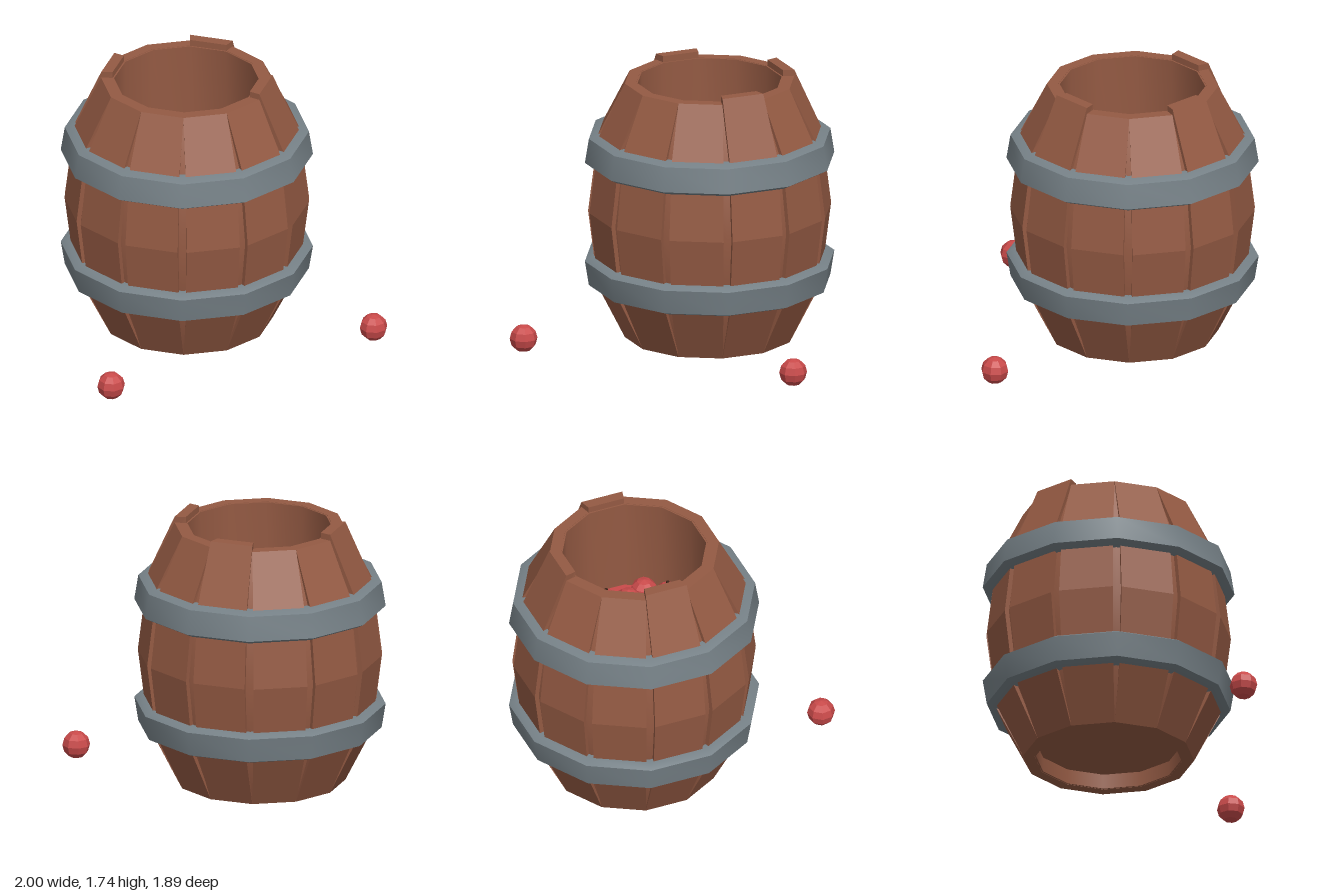
import * as THREE from 'three';
import { toCreasedNormals } from 'three/addons/utils/BufferGeometryUtils.js';

const SIDES = 12;
const COS = Math.cos(Math.PI / SIDES);
const TAN = Math.tan(Math.PI / SIDES);

function material(name, color) {
  const m = new THREE.MeshStandardMaterial({ color });
  m.name = name;
  return m;
}

function flat(geometry) {
  const g = geometry.index ? geometry.toNonIndexed() : geometry;
  g.computeVertexNormals();
  return g;
}

// Twelve-sided ring from a closed profile of [apothem, y], outside going up.
function ringGeometry(profile) {
  const pts = profile.map(([r, y]) => new THREE.Vector2(r / COS, y));
  pts.push(pts[0].clone());
  return toCreasedNormals(new THREE.LatheGeometry(pts, SIDES, Math.PI / SIDES), 0.6);
}

// Stave facing +z: four-cornered sections [y, outer radius, half width] stacked upwards.
function staveGeometry(top) {
  const inner = 0.46;
  const sections = [
    [0, 0.53, 0.142], [0.34, 0.70, 0.166], [0.85, 0.763, 0.175], [1.36, 0.70, 0.166], [top, 0.53, 0.142],
  ];
  const pos = [], index = [];
  for (const [y, r, w] of sections) {
    const wi = inner * TAN;
    pos.push(-w, y, r, w, y, r, wi, y, inner, -wi, y, inner);
  }
  for (let s = 0; s < sections.length - 1; s++) {
    for (let k = 0; k < 4; k++) {
      const a = s * 4 + k, b = s * 4 + (k + 1) % 4;
      index.push(a, b, b + 4, a, b + 4, a + 4);
    }
  }
  const t = (sections.length - 1) * 4;
  index.push(0, 2, 1, 0, 3, 2, t, t + 1, t + 2, t, t + 2, t + 3);
  const g = new THREE.BufferGeometry();
  g.setAttribute('position', new THREE.Float32BufferAttribute(pos, 3));
  g.setIndex(index);
  return flat(g);
}

export function createModel() {
  const wood = material('wood', 0x945a43);
  const steel = material('steel', 0x768187);
  const red = material('appleRed', 0xc94a4a);
  const green = material('appleGreen', 0x6fa53a);
  const stemBrown = material('stemBrown', 0x3d2419);

  const model = new THREE.Group();
  model.name = 'appleBarrel';
  const barrel = new THREE.Group();
  barrel.name = 'barrel';
  barrel.position.set(-0.182, 0, -0.17);
  model.add(barrel);

  const add = (parent, name, geometry, mat) => {
    const mesh = new THREE.Mesh(geometry, mat);
    mesh.name = name;
    parent.add(mesh);
    return mesh;
  };

  // Staves, three of them standing slightly taller
  const shortStave = staveGeometry(1.70);
  const tallStave = staveGeometry(1.74);
  for (let i = 0; i < SIDES; i++) {
    const tall = i === 2 || i === 5 || i === 8;
    const stave = add(barrel, 'stave', tall ? tallStave : shortStave, wood);
    stave.rotation.y = i * Math.PI * 2 / SIDES;
  }

  // Inner wall, which also closes the seams between the staves
  add(barrel, 'innerWall', ringGeometry([
    [0.45, 0.002], [0.52, 0.002], [0.67, 0.34], [0.733, 0.85], [0.67, 1.36], [0.52, 1.698], [0.45, 1.698],
  ]), wood);

  // Recessed bottom board
  const base = add(barrel, 'bottomBoard', flat(new THREE.CylinderGeometry(0.48, 0.48, 0.04, SIDES, 1, false, Math.PI / SIDES)), wood);
  base.position.y = 0.12;

  // Hoops, mirrored about the middle of the barrel
  const hoop = [[0.68, 1.155], [0.735, 1.155], [0.78, 1.18], [0.755, 1.34], [0.69, 1.365], [0.66, 1.365]];
  add(barrel, 'upperHoop', ringGeometry(hoop), steel);
  add(barrel, 'lowerHoop', ringGeometry(hoop.map(([r, y]) => [r, 1.70 - y]).reverse()), steel);

  // Fill surface under the apples
  const fillY = 1.05;
  const fill = add(barrel, 'appleFill', new THREE.CircleGeometry(0.47, SIDES), red);
  fill.rotation.set(-Math.PI / 2, 0, Math.PI / SIDES);
  fill.position.y = fillY;

  // Apples
  const appleGeometry = flat(new THREE.SphereGeometry(0.09, 8, 6));
  const stemGeometry = flat(new THREE.CylinderGeometry(0.012, 0.008, 0.03, 5));
  function apple(x, y, z, mat, hasStem, turn) {
    const group = new THREE.Group();
    group.name = 'apple';
    group.position.set(x, y, z);
    group.rotation.y = turn;
    add(group, 'appleBody', appleGeometry, mat);
    if (hasStem) add(group, 'stem', stemGeometry, stemBrown).position.y = 0.095;
    model.add(group);
  }

  // Inside the barrel: x, z, height above the fill, green, stem
  [
    [-0.21, -0.58, 0.04, 0, 1], [-0.57, -0.33, 0.04, 0, 1], [-0.25, -0.33, 0.02, 0, 0],
    [-0.16, -0.30, 0.07, 0, 1], [-0.41, -0.155, 0.07, 0, 1], [-0.41, -0.055, 0.02, 1, 1],
    [-0.20, -0.10, 0.06, 1, 0], [-0.55, 0.0, 0.03, 0, 1], [-0.18, 0.04, 0.03, 0, 0],
    [-0.015, -0.01, 0.05, 0, 0], [-0.015, 0.155, 0.03, 0, 0], [0.095, -0.10, 0.04, 0, 1],
    [-0.18, 0.19, 0.05, 0, 1],
  ].forEach(([x, z, h, isGreen, stem], i) => apple(x, fillY + h, z, isGreen ? green : red, stem, i * 0.7));

  // Fallen on the ground
  apple(0.91, 0.09, 0.415, red, false, 0);
  apple(-0.91, 0.09, 0.85, red, false, 0);

  return model;
}
